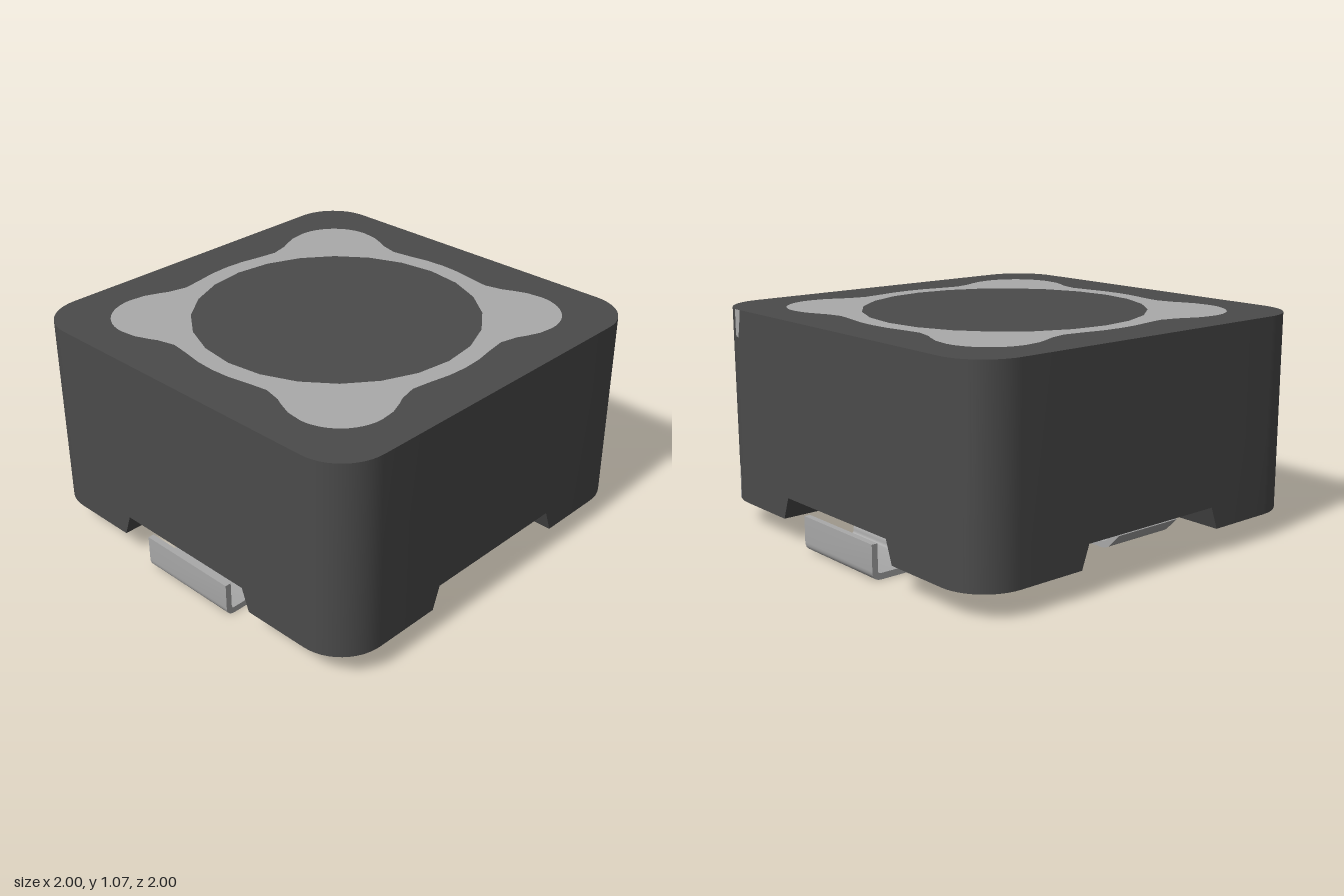
import * as THREE from 'three';
import { toCreasedNormals } from 'three/addons/utils/BufferGeometryUtils.js';

const TOP = 1.075;
const mats = {
  ferrite: new THREE.MeshStandardMaterial({ name: 'dark ferrite', color: 0x4b4b4b }),
  filler: new THREE.MeshStandardMaterial({ name: 'grey filler', color: 0xaaaaaa }),
  metal: new THREE.MeshStandardMaterial({ name: 'tinned metal', color: 0xa9a9a9 }),
};

function add(parent, name, geometry, material) {
  const mesh = new THREE.Mesh(geometry, material);
  mesh.name = name;
  parent.add(mesh);
  return mesh;
}

// One eighth of a contour as [along side, outward], from side middle to diagonal
const ALONG = [0, 0.1, 0.2, 0.3, 0.39, 0.43, 0.5];
const cavityOut = [0.775, 0.769, 0.75, 0.735, 0.757, 0.777, 0.805];
function eighth(outs, centre, radius) {
  const pts = ALONG.map((u, i) => [u, outs[i]]);
  for (let i = 0; i <= 6; i++) {
    const a = (i / 6) * Math.PI / 4;
    pts.push([centre + radius * Math.sin(a), centre + radius * Math.cos(a)]);
  }
  return pts;
}

// Mirror an eighth into a side, then turn it four times; returns [x, z, along]
function fullContour(half) {
  const side = [
    ...half.slice(1).reverse().map(([u, v]) => [-u, v]),
    ...half.slice(0, -1),
  ];
  const out = [];
  for (let k = 0; k < 4; k++) {
    const c = Math.round(Math.cos(k * Math.PI / 2)), s = Math.round(Math.sin(k * Math.PI / 2));
    for (const [u, v] of side) out.push([u * c + v * s, v * c - u * s, Math.abs(u)]);
  }
  return out;
}

// Shield wall between two contours, with a trapezoid notch under each side
function shieldGeometry(outer, inner) {
  const pos = [];
  const quad = (a, b, c, d) => pos.push(...a, ...b, ...c, ...a, ...c, ...d);
  const low = (u) => 0.12 + 0.11 * THREE.MathUtils.clamp((0.43 - u) / 0.04, 0, 1);
  const n = outer.length;
  for (let i = 0; i < n; i++) {
    const j = (i + 1) % n;
    const at = (p, y) => [p[0], y, p[1]];
    const yi = low(outer[i][2]), yj = low(outer[j][2]);
    const oi = at(outer[i], yi), oj = at(outer[j], yj);
    const ii = at(inner[i], yi), ij = at(inner[j], yj);
    const Oi = at(outer[i], TOP), Oj = at(outer[j], TOP);
    const Ii = at(inner[i], TOP), Ij = at(inner[j], TOP);
    quad(oi, oj, Oj, Oi);
    quad(ij, ii, Ii, Ij);
    quad(Oi, Oj, Ij, Ii);
    quad(oj, oi, ii, ij);
  }
  const g = new THREE.BufferGeometry();
  g.setAttribute('position', new THREE.Float32BufferAttribute(pos, 3));
  return toCreasedNormals(g, 0.5);
}

// Bent sheet metal: a path with rounded bends, given thickness and width
function bentStrip(points, width, thickness = 0.03, bend = 0.03) {
  const p = points.map(([x, y]) => new THREE.Vector2(x, y));
  const path = [p[0]];
  for (let i = 1; i < p.length - 1; i++) {
    const toward = (q) => p[i].clone().add(q.clone().sub(p[i]).setLength(bend));
    path.push(...new THREE.QuadraticBezierCurve(toward(p[i - 1]), p[i], toward(p[i + 1])).getPoints(5));
  }
  path.push(p[p.length - 1]);
  const left = [], right = [];
  path.forEach((q, i) => {
    const d = path[Math.min(i + 1, path.length - 1)].clone().sub(path[Math.max(i - 1, 0)]).setLength(thickness / 2);
    left.push(new THREE.Vector2(q.x - d.y, q.y + d.x));
    right.push(new THREE.Vector2(q.x + d.y, q.y - d.x));
  });
  const g = new THREE.ExtrudeGeometry(new THREE.Shape([...left, ...right.reverse()]), { depth: width, bevelEnabled: false });
  g.translate(0, 0, -width / 2);
  return toCreasedNormals(g, 0.6);
}

// Flat shape in x/z, extruded downward from yTop
function slab(shape, yTop, depth) {
  const g = new THREE.ExtrudeGeometry(shape, { depth, bevelEnabled: false, curveSegments: 24 });
  g.rotateX(Math.PI / 2);
  g.translate(0, yTop, 0);
  return toCreasedNormals(g, 0.5);
}

export function createModel() {
  const model = new THREE.Group();
  model.name = 'shieldedInductor';

  // Shield with a lobed cavity
  const outer = fullContour(eighth(ALONG.map(() => 1), 0.77, 0.23));
  const inner = fullContour(eighth(cavityOut, 0.58, 0.235));
  add(model, 'shield', shieldGeometry(outer, inner), mats.ferrite);

  // Filler around the core's upper flange
  const ring = new THREE.Shape(inner.map(([x, z]) => new THREE.Vector2(x, z)));
  const hole = [];
  for (let i = 0; i < 24; i++) {
    const a = (i / 24) * Math.PI * 2;
    hole.push(new THREE.Vector2(0.683 * Math.cos(a), 0.683 * Math.sin(a)));
  }
  ring.holes.push(new THREE.Path(hole));
  add(model, 'filler', slab(ring, TOP, 0.17), mats.filler);

  // Drum core with a chamfered lower flange
  const drum = [
    [0, 0.09], [0.65, 0.09], [0.71, 0.12], [0.71, 0.28], [0.45, 0.3],
    [0.45, 0.8], [0.683, 0.82], [0.683, TOP], [0, TOP],
  ].map(([x, y]) => new THREE.Vector2(x, y));
  add(model, 'drumCore', toCreasedNormals(new THREE.LatheGeometry(drum, 24), 0.4), mats.ferrite);

  // Two terminals, each the other turned half round
  const R = 0.63, open = Math.acos(0.2 / R);
  for (let k = 0; k < 2; k++) {
    const terminal = new THREE.Group();
    terminal.name = k ? 'rightTerminal' : 'leftTerminal';
    terminal.rotation.y = k * Math.PI;
    model.add(terminal);

    const halfDisc = new THREE.Shape();
    halfDisc.absarc(0, 0, R, -open, open, false);
    halfDisc.closePath();
    add(terminal, 'basePlate', slab(halfDisc, 0.09, 0.03), mats.metal);

    const foot = [[0.5, 0.075], [0.705, 0.075], [0.705, 0.015], [0.975, 0.015], [0.975, 0.17]];
    add(terminal, 'solderFoot', bentStrip(foot, 0.54), mats.metal);

    const tab = add(terminal, 'wireTab', bentStrip([[0.46, 0.075], [0.74, 0.075], [0.815, 0.152]], 0.38), mats.metal);
    tab.rotation.y = -Math.PI / 2;
    tab.position.x = 0.16;

    // Fingers gripping the flange on the diagonals
    for (const s of [-1, 1]) {
      const finger = add(terminal, 'gripFinger', bentStrip([[0.5, 0.075], [0.765, 0.075], [0.765, 0.34]], 0.22), mats.metal);
      finger.rotation.y = s * Math.PI / 4;
    }
  }

  // Thin filler traces on one rounded corner
  const traces = [
    [0.785, [[-0.025, 1.0], [-0.022, 0.945], [0, 0.94], [0.015, 1.0], [0.025, TOP], [-0.022, TOP]]],
    [0.855, [[-0.025, 0.12], [0.01, 0.12], [0.024, 0.28], [0.025, 0.35], [0.005, 0.26]]],
  ];
  for (const [z, pts] of traces) {
    const phi = Math.asin((z - 0.77) / 0.23);
    const shape = new THREE.Shape(pts.map(([x, y]) => new THREE.Vector2(x, y)));
    const trace = add(model, 'fillerTrace', new THREE.ShapeGeometry(shape), mats.filler);
    trace.rotation.y = Math.PI / 2 - phi;
    trace.position.set(0.77 + 0.232 * Math.cos(phi), 0, 0.77 + 0.232 * Math.sin(phi));
  }
  return model;
}
